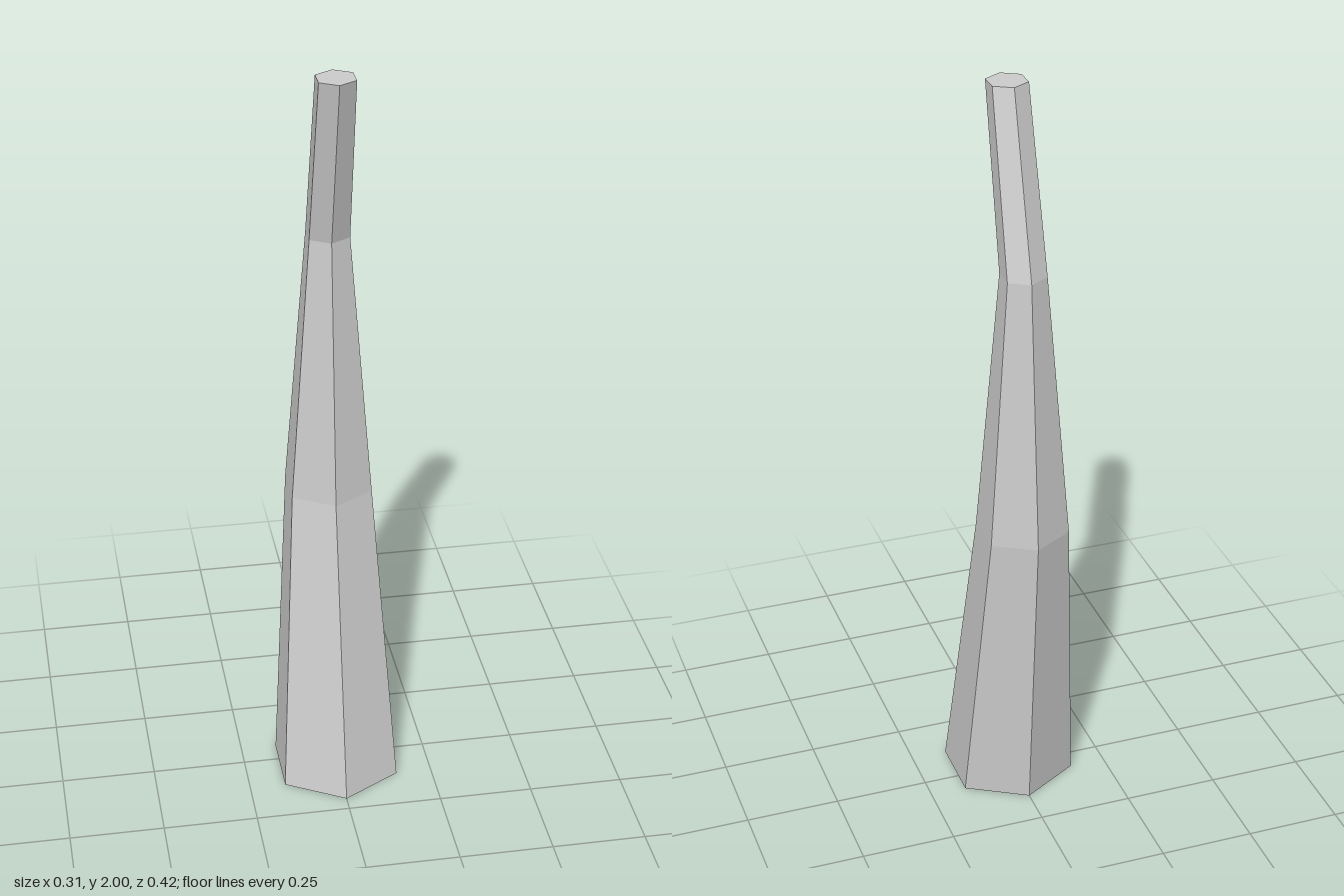
import * as THREE from 'three';

// Horizontal hexagonal rings from the ground up: height, z of the centre, radius
const RINGS = [
  { y: 0, z: 0.029, r: 0.178 },
  { y: 0.82, z: -0.087, r: 0.122 },
  { y: 1.54, z: -0.0905, r: 0.06 },
  { y: 2, z: 0.0305, r: 0.0535 },
];

export function createModel() {
  const group = new THREE.Group();
  group.name = 'bentTrunk';

  // Six-sided capped column, each ring moved to its place along the bend
  const spans = RINGS.length - 1;
  const geometry = new THREE.CylinderGeometry(1, 1, spans, 6, spans);
  const pos = geometry.attributes.position;
  for (let i = 0; i < pos.count; i++) {
    const ring = RINGS[Math.round(pos.getY(i) + spans / 2)];
    pos.setXYZ(i, pos.getX(i) * ring.r, ring.y, pos.getZ(i) * ring.r + ring.z);
  }
  geometry.computeVertexNormals();

  const material = new THREE.MeshStandardMaterial({ color: 0xcccccc, flatShading: true });
  const trunk = new THREE.Mesh(geometry, material);
  trunk.name = 'trunk';
  group.add(trunk);
  return group;
}
